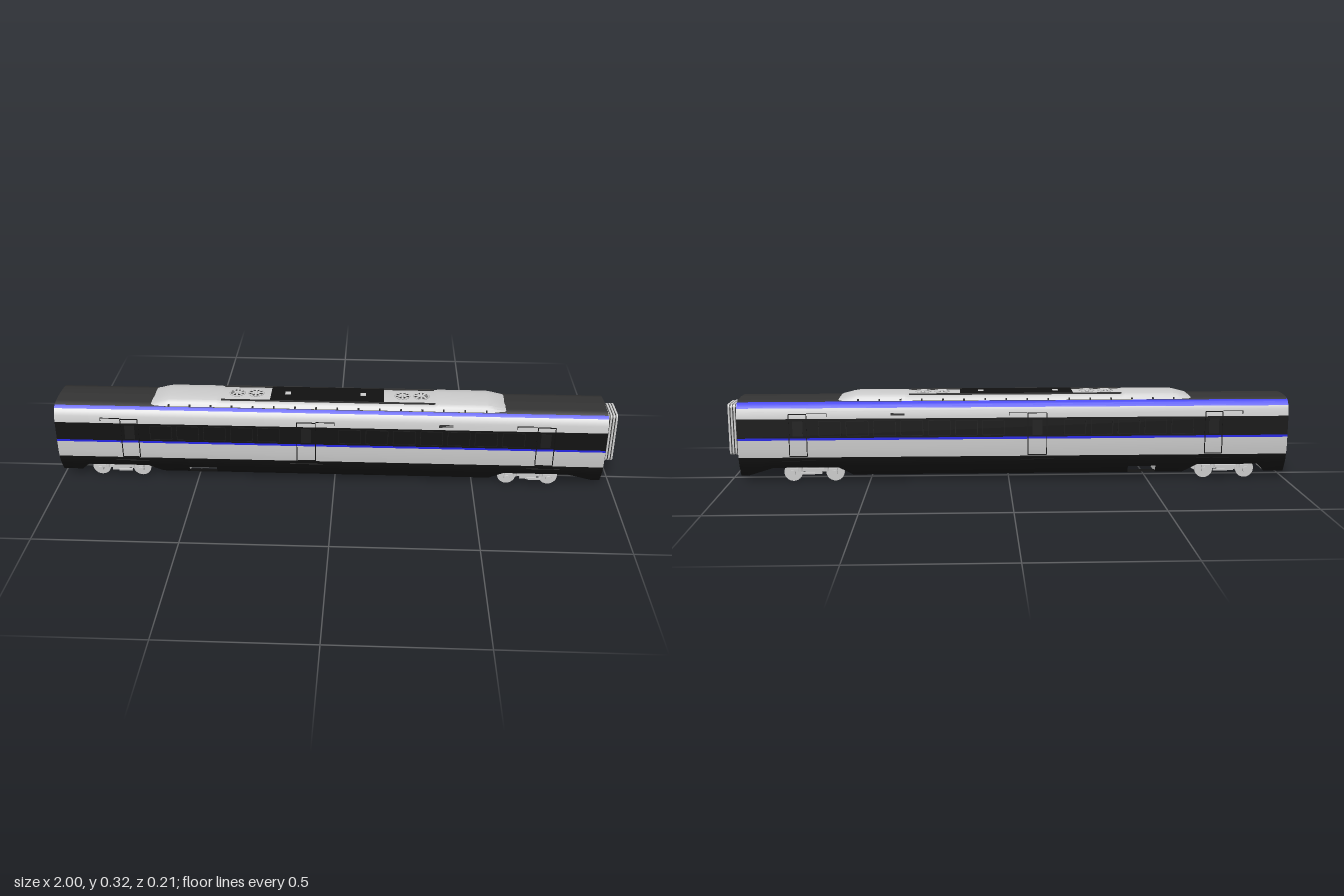
import * as THREE from 'three';
import { toCreasedNormals } from 'three/addons/utils/BufferGeometryUtils.js';

const paint = (color) => new THREE.MeshStandardMaterial({ color });
const GREY = paint(0xcccccc), BLACK = paint(0x111111), ROOF = paint(0x333333), BLUE = paint(0x2424e8), WINDOW = paint(0x1c1c1c);

// half cross-section of the body: height, half width
const PROFILE = [[0.023, 0.068], [0.05, 0.084], [0.08, 0.098], [0.12, 0.104], [0.165, 0.105], [0.235, 0.105], [0.26, 0.102],
  [0.275, 0.096], [0.285, 0.088], [0.293, 0.078], [0.298, 0.055], [0.301, 0]];
// underside height along the length: clears both bogies and one equipment bay
const STATIONS = [[-1, 0.024], [-0.93, 0.024], [-0.9, 0.055], [-0.68, 0.055], [-0.63, 0.024], [-0.53, 0.024], [-0.53, 0.05],
  [-0.43, 0.05], [-0.43, 0.024], [0.56, 0.024], [0.61, 0.055], [0.84, 0.055], [0.93, 0.024], [0.96, 0.024]];

function halfWidth(y) {
  for (let i = 1; i < PROFILE.length; i++) {
    const [y0, z0] = PROFILE[i - 1], [y1, z1] = PROFILE[i];
    if (y <= y1) return z0 + (z1 - z0) * (y - y0) / (y1 - y0);
  }
  return 0;
}

// skin through cross-sections [x, [[y, z], ...]]
function loft(sections) {
  const pos = [], idx = [], n = sections[0][1].length;
  sections.forEach(([x, pts], i) => pts.forEach(([y, z], j) => {
    pos.push(x, y, z);
    if (i && j) {
      const a = (i - 1) * n + j - 1, b = a + n;
      idx.push(a, b, b + 1, a, b + 1, a + 1);
    }
  }));
  const g = new THREE.BufferGeometry();
  g.setAttribute('position', new THREE.Float32BufferAttribute(pos, 3));
  g.setIndex(idx);
  return toCreasedNormals(g, 0.5);
}

// points up one side of the body from y0 to y1, reversed on the -z side
function sideRows(y0, y1, side, steps = 0) {
  const ys = steps ? Array.from({ length: steps + 1 }, (_, i) => y0 + (y1 - y0) * i / steps)
    : [y0, ...PROFILE.map((p) => p[0]).filter((y) => y > y0 + 1e-4 && y < y1 - 1e-4), y1];
  const rows = ys.map((y) => [y, side * halfWidth(y)]);
  return side > 0 ? rows : rows.reverse();
}

function roundRect(w, h, r, cy, T = THREE.Shape) {
  const s = new T(), x = w / 2, b = cy - h / 2, t = cy + h / 2;
  s.moveTo(-x + r, b).lineTo(x - r, b).quadraticCurveTo(x, b, x, b + r).lineTo(x, t - r).quadraticCurveTo(x, t, x - r, t);
  s.lineTo(-x + r, t).quadraticCurveTo(-x, t, -x, t - r).lineTo(-x, b + r).quadraticCurveTo(-x, b, -x + r, b);
  return s;
}

// hollow rounded frame of given depth along z
function frame(w, h, r, cy, border, depth) {
  const s = roundRect(w, h, r, cy);
  s.holes.push(roundRect(w - 2 * border, h - 2 * border, Math.max(r - border, 0.001), cy, THREE.Path));
  return new THREE.ExtrudeGeometry(s, { depth, bevelEnabled: false, curveSegments: 4 });
}

export function createModel() {
  const car = new THREE.Group();
  car.name = 'trainCar';
  const add = (name, geo, mat, x = 0, y = 0, z = 0, parent = car) => {
    const m = new THREE.Mesh(geo, mat);
    m.name = name;
    m.position.set(x, y, z);
    parent.add(m);
    return m;
  };
  const box = (name, w, h, d, mat, x, y, z, parent) => add(name, new THREE.BoxGeometry(w, h, d), mat, x, y, z, parent);

  // painted body bands
  for (const side of [1, -1]) {
    const blueLow = side > 0 ? 0.283 : 0.272;
    const bands = [['lowerPanel', 0.095, 0.158, GREY], ['waistStripe', 0.158, 0.166, BLUE], ['windowBand', 0.166, 0.235, BLACK],
      ['upperPanel', 0.235, blueLow, GREY], ['roofStripe', blueLow, 0.292, BLUE], ['roof', 0.292, 0.301, ROOF]];
    for (const [name, y0, y1, mat] of bands)
      add(name, loft([-1, 0.96].map((x) => [x, sideRows(y0, y1, side)])), mat);
    add('skirt', loft(STATIONS.map(([x, y]) => [x, sideRows(y, 0.095, side, 4)])), BLACK);
    box('baySill', 0.1, 0.008, 0.006, BLACK, -0.48, 0.029, side * 0.069);
  }
  add('underside', loft(STATIONS.map(([x, y]) => [x, [[y, -halfWidth(y)], [y, halfWidth(y)]]])), GREY);
  for (const x of [-0.25, 0.05, 0.35]) box('equipmentHatch', 0.12, 0.003, 0.07, ROOF, x, 0.0235, 0);

  // end walls with doorway and its lining
  for (const [x, dir, w] of [[0.96, 1, 0.1], [-1, -1, 0.116]]) {
    const rows = PROFILE.map(([y, z]) => new THREE.Vector2(z, y));
    const wall = new THREE.Shape([...rows, ...rows.slice(0, -1).reverse().map((p) => new THREE.Vector2(-p.x, p.y))]);
    wall.holes.push(roundRect(w, 0.176, 0.01, 0.188, THREE.Path));
    add('endWall', new THREE.ShapeGeometry(wall, 4), GREY, x).rotation.y = dir * Math.PI / 2;
    add('doorwayLining', frame(w + 0.008, 0.184, 0.012, 0.188, 0.005, 0.02), GREY, dir > 0 ? 0.939 : -0.999).rotation.y = Math.PI / 2;
  }
  // pleated gangway
  for (let i = 0; i < 4; i++) {
    add('gangwayPleat', frame(0.108, 0.184, 0.013, 0.188, 0.005, 0.006), GREY, 0.964 + i * 0.01, 0, 0).rotation.y = Math.PI / 2;
    add('gangwayFold', frame(0.102, 0.178, 0.011, 0.188, 0.003, 0.004), ROOF, 0.96 + i * 0.01, 0, 0).rotation.y = Math.PI / 2;
  }

  // doors, windows and grilles on both sides
  for (const side of [1, -1]) {
    for (const [x0, x1, pocket] of [[-0.765, -0.7, -0.835], [-0.135, -0.065, 0], [0.715, 0.78, 0.645]]) {
      const mid = (x0 + x1) / 2, near = pocket < x0 ? x0 : x1;
      add('doorLeaf', frame(x1 - x0, 0.155, 0.004, 0.176, 0.003, 0.002), BLACK, mid, 0, side * 0.1055 - 0.001);
      box('doorRail', Math.abs(pocket - near), 0.002, 0.004, BLACK, (pocket + near) / 2, 0.254, side * 0.1035);
      box('pocketEdge', 0.002, 0.012, 0.004, BLACK, pocket, 0.249, side * 0.1035);
      box('doorWindow', 0.036, 0.055, 0.002, WINDOW, mid, 0.2, side * 0.1055);
      box('doorStep', 0.12, 0.01, 0.004, BLACK, mid, 0.078, side * 0.097).rotation.x = side * 0.4;
    }
    for (let i = 0; i < 14; i++) {
      const x = -0.62 + i * 0.0965;
      if (Math.abs(x + 0.08) > 0.09) add('windowFrame', frame(0.08, 0.056, 0.005, 0.2, 0.002, 0.001), WINDOW, x, 0, side * 0.1055 - 0.0005);
    }
    for (let i = 0; i < 3; i++) box('ventSlat', 0.05, 0.002, 0.003, ROOF, 0.395, 0.245 + i * 0.004, side * 0.1035);
  }

  // roof equipment pod
  const pod = new THREE.Group();
  pod.name = 'roofPod';
  car.add(pod);
  const podRows = [[0, 0.078], [0.013, 0.07], [0.02, 0.06], [0.024, 0.03], [0.025, 0], [0.024, -0.03], [0.02, -0.06], [0.013, -0.07], [0, -0.078]];
  const podEnds = [[-0.665, 0.1, 0.86], [-0.65, 0.4, 0.95], [-0.61, 0.9, 1], [-0.59, 1.06, 1], [-0.42, 1.06, 1], [-0.4, 0.88, 1],
    [0.35, 0.88, 1], [0.37, 1.06, 1], [0.54, 1.06, 1], [0.56, 0.9, 1], [0.6, 0.4, 0.95], [0.615, 0.1, 0.86]];
  add('podShell', loft(podEnds.map(([x, h, w]) => [x, podRows.map(([y, z]) => [0.292 + y * h, z * w])])), GREY, 0, 0, 0, pod);
  box('podPanel', 0.405, 0.004, 0.108, BLACK, -0.028, 0.3135, 0, pod);
  for (const x of [-0.17, 0.1]) box('panelLatch', 0.02, 0.003, 0.02, GREY, x, 0.316, 0, pod);
  for (const side of [1, -1]) {
    box('podRail', 0.76, 0.007, 0.004, ROOF, -0.025, 0.312, side * 0.055, pod);
    for (let i = 0; i < 16; i++) box('podBracket', 0.006, 0.006, 0.006, ROOF, -0.59 + i * 0.075, 0.297, side * 0.0765, pod);
  }
  // cooling fans
  for (const x of [-0.352, -0.285, 0.24, 0.307]) {
    const fan = new THREE.Group();
    fan.name = 'fan';
    fan.position.set(x, 0.315, 0);
    pod.add(fan);
    add('fanRing', new THREE.TorusGeometry(0.027, 0.0025, 6, 24), GREY, 0, 0, 0, fan).rotation.x = Math.PI / 2;
    add('fanWell', new THREE.CylinderGeometry(0.027, 0.027, 0.002, 24), ROOF, 0, -0.001, 0, fan);
    add('fanHub', new THREE.CylinderGeometry(0.007, 0.007, 0.005, 12), GREY, 0, 0.001, 0, fan);
    for (let i = 0; i < 8; i++) {
      const blade = box('fanBlade', 0.02, 0.001, 0.007, GREY, 0, 0.0015, 0, fan);
      blade.geometry.translate(0.015, 0, 0);
      blade.rotation.set(0, i * Math.PI / 4, 0);
    }
  }

  // bogies
  for (const bx of [-0.785, 0.7]) {
    const bogie = new THREE.Group();
    bogie.name = 'bogie';
    bogie.position.x = bx;
    car.add(bogie);
    const disc = (name, r, w, x, z) => add(name, new THREE.CylinderGeometry(r, r, w, 24), GREY, x, 0.033, z, bogie).rotation.x = Math.PI / 2;
    box('bolster', 0.045, 0.016, 0.14, GREY, 0, 0.045, 0, bogie);
    for (const wx of [-0.075, 0.075]) {
      disc('axle', 0.007, 0.16, wx, 0);
      box('motor', 0.035, 0.022, 0.04, GREY, wx * 0.5, 0.035, 0, bogie);
      for (const side of [1, -1]) {
        disc('wheel', 0.033, 0.008, wx, side * 0.057);
        disc('wheelFlange', 0.029, 0.003, wx, side * 0.052);
        disc('brakeDisc', 0.021, 0.004, wx, side * 0.031);
        disc('axleBox', 0.011, 0.016, wx, side * 0.08);
        add('spring', new THREE.CylinderGeometry(0.008, 0.008, 0.02, 12), GREY, wx * 0.62, 0.05, side * 0.077, bogie);
      }
    }
    for (const side of [1, -1]) {
      box('sideFrame', 0.17, 0.01, 0.014, GREY, 0, 0.045, side * 0.074, bogie);
      box('frameDrop', 0.06, 0.012, 0.014, GREY, 0, 0.036, side * 0.074, bogie);
      box('damper', 0.05, 0.007, 0.007, GREY, 0.02, 0.034, side * 0.085, bogie);
    }
  }
  return car;
}
